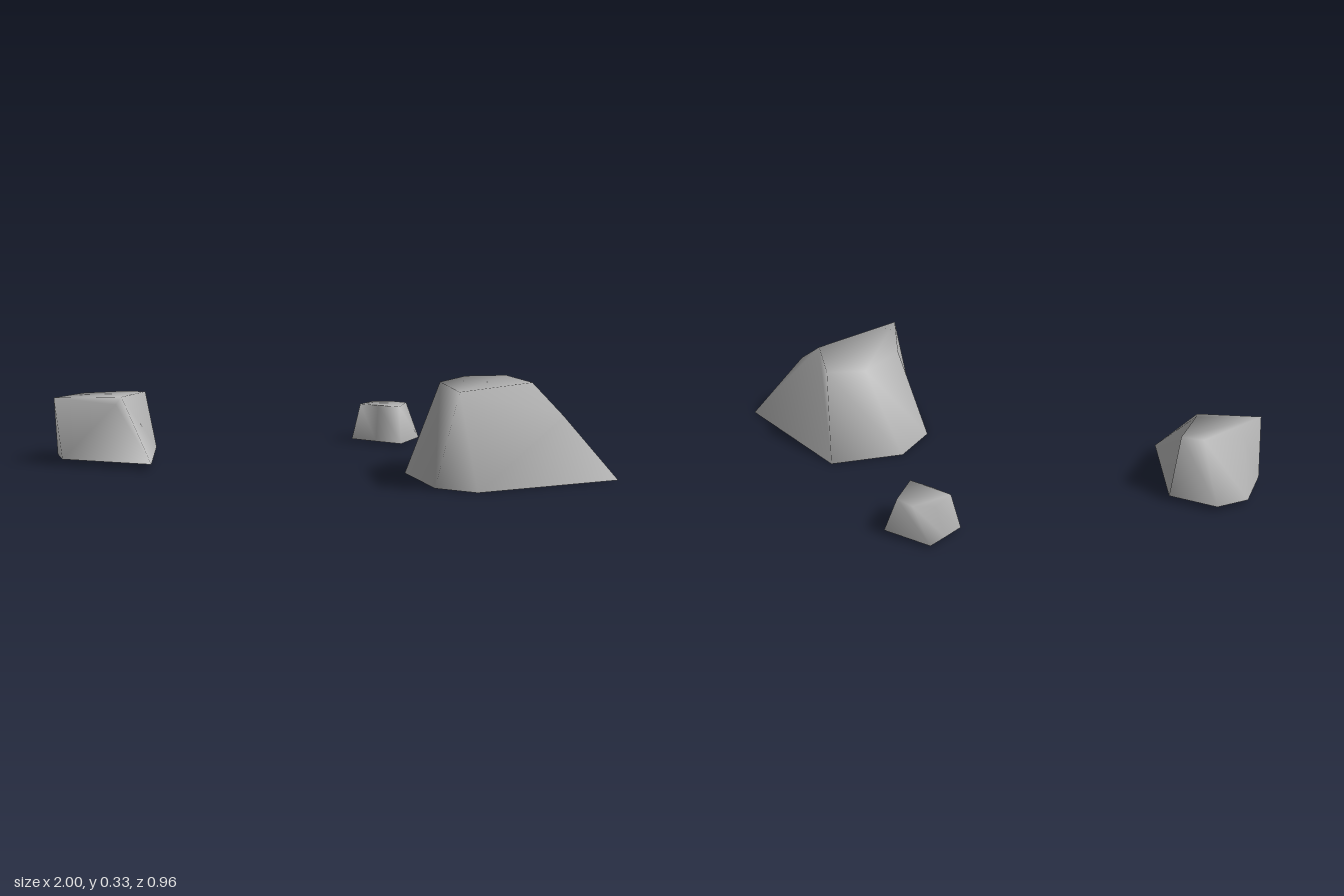
import * as THREE from 'three';

// A hollow boulder, open underneath: a ground ring stitched to a top ring of the same count,
// closed by a cap, with soft normals over all faces.
// Rings run clockwise seen from above. Ground: [x, z] at baseY. Top: [x, y, z].
function rock(name, material, baseY, ground, top) {
  const n = ground.length;
  const positions = [...ground.flatMap(([x, z]) => [x, baseY, z]), ...top.flat()];
  const index = [];
  // Walls
  for (let i = 0; i < n; i++) {
    const j = (i + 1) % n;
    index.push(i, n + j, j, i, n + i, n + j);
  }
  // Cap, fanned from the front vertex
  for (let k = 1; k < n - 1; k++) {
    index.push(n + 3, n + ((3 + k + 1) % n), n + ((3 + k) % n));
  }
  const geometry = new THREE.BufferGeometry();
  geometry.setAttribute('position', new THREE.Float32BufferAttribute(positions, 3));
  geometry.setIndex(index);
  geometry.computeVertexNormals();
  const mesh = new THREE.Mesh(geometry, material);
  mesh.name = name;
  return mesh;
}

export function createModel() {
  const group = new THREE.Group();
  group.name = 'rocks';
  const stone = new THREE.MeshStandardMaterial({ color: 0xb4b4b4, side: THREE.DoubleSide });
  stone.name = 'stone grey';

  // Large rock with a long pointed foot
  group.add(rock('largeRock', stone, 0,
    [[0.52, -0.14], [1, 0.08], [0.6, 0.44], [0.45, 0.42], [0.28, 0.21], [0.3, 0.03]],
    [[0.58, 0.33, -0.03], [0.71, 0.33, 0.14], [0.83, 0.23, 0.2],
      [0.54, 0.33, 0.46], [0.41, 0.33, 0.23], [0.45, 0.33, 0.04]]));

  // Medium rock
  group.add(rock('mediumRock', stone, 0.02,
    [[-0.73, 0.14], [-0.58, 0.46], [-0.93, 0.48], [-1, 0.4], [-1, 0.23], [-0.91, 0.14]],
    [[-0.74, 0.24, 0.2], [-0.75, 0.24, 0.36], [-0.74, 0.22, 0.42],
      [-0.97, 0.24, 0.46], [-0.94, 0.24, 0.31], [-0.82, 0.24, 0.21]]));

  // Small rock
  group.add(rock('smallRock', stone, 0.01,
    [[0.13, -0.46], [0.11, -0.29], [0, -0.31], [-0.11, -0.335], [-0.085, -0.41], [-0.06, -0.48]],
    [[0.08, 0.15, -0.45], [0.09, 0.15, -0.325], [0, 0.15, -0.335],
      [-0.08, 0.15, -0.35], [-0.06, 0.15, -0.44], [0.01, 0.15, -0.47]]));

  return group;
}
